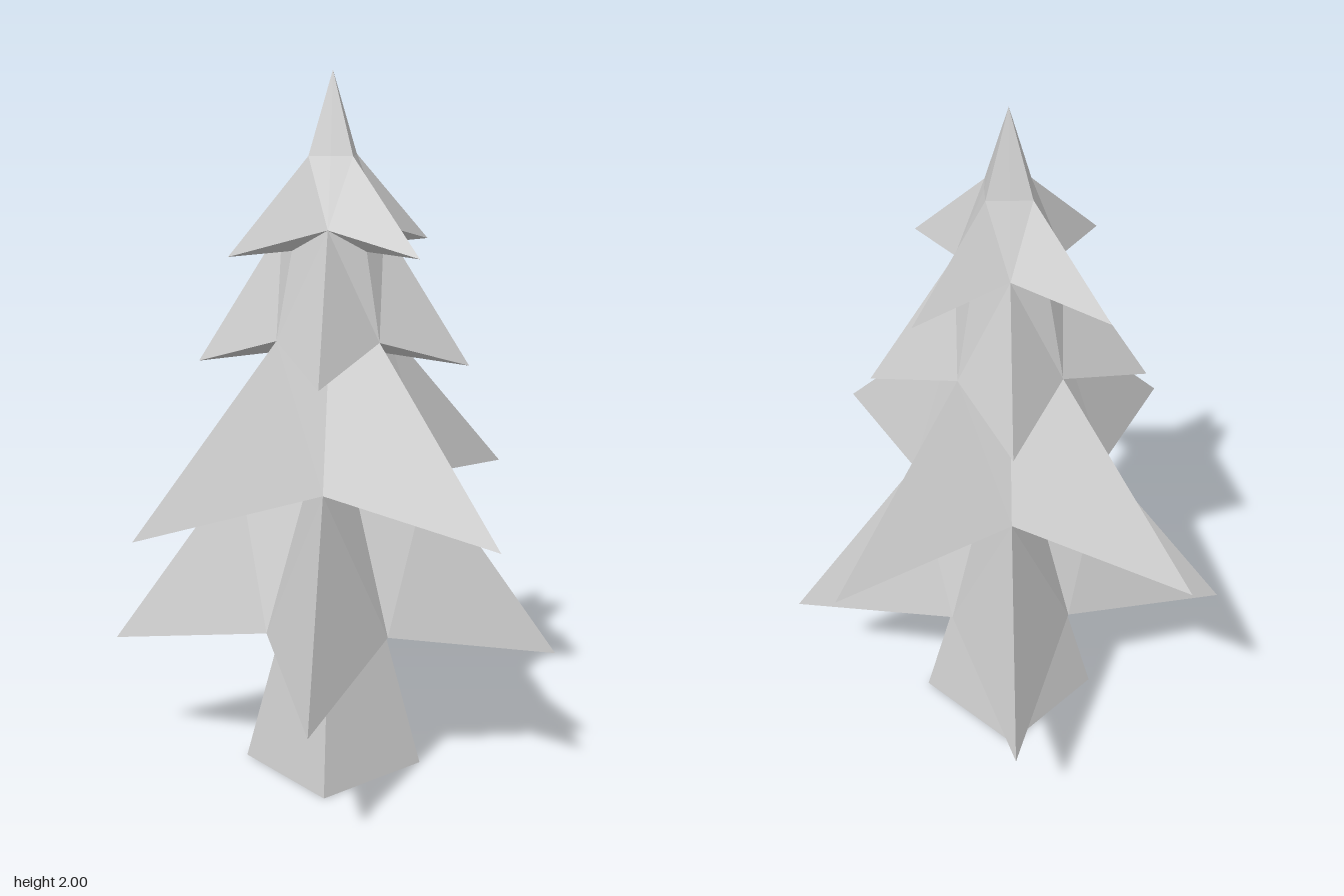
import * as THREE from 'three';

const material = new THREE.MeshStandardMaterial({ color: 0xcccccc, flatShading: true });

// Eight points around the trunk; even ones lie on the x and z axes, odd ones on the diagonals
function ring(evenR, evenY, oddR, oddY) {
  return Array.from({ length: 8 }, (_, k) => {
    const a = k * Math.PI / 4, r = k % 2 ? oddR : evenR;
    return new THREE.Vector3(Math.sin(a) * r, k % 2 ? oddY : evenY, Math.cos(a) * r);
  });
}

// Triangles joining a lower ring to an upper one; `tip` is the parity of the branch tips
function band(lower, upper, tip = 0) {
  const out = [];
  const add = (a, b, c) => {
    const area = b.clone().sub(a).cross(c.clone().sub(a)).length();
    if (area > 1e-6) out.push(a, b, c);
  };
  for (let k = 0; k < 8; k++) {
    const n = (k + 1) % 8;
    if (k % 2 === tip) {
      add(lower[k], lower[n], upper[k]);
      add(lower[n], upper[n], upper[k]);
    } else {
      add(lower[k], lower[n], upper[n]);
      add(lower[k], upper[n], upper[k]);
    }
  }
  return out;
}

function part(name, points) {
  const geometry = new THREE.BufferGeometry().setFromPoints(points);
  geometry.computeVertexNormals();
  const mesh = new THREE.Mesh(geometry, material);
  mesh.name = name;
  return mesh;
}

export function createModel() {
  const tree = new THREE.Group();
  tree.name = 'pineTree';

  // Trunk: a tapering square post with its corners on the axes
  const h = Math.SQRT1_2;
  const base = ring(0.258, 0, 0.258 * h, 0);
  const trunkTop = ring(0.14, 0.45, 0.14 * h, 0.45);
  const centre = ring(0, 0, 0, 0);
  tree.add(part('trunk', [...band(centre, base), ...band(base, trunkTop)]));

  // Tiers from the bottom: tip, valley between tips, and hollow beneath each tip (radius, height)
  const tiers = [
    { tip: [0.645, 0.36], valley: [0.242, 0.455] },
    { tip: [0.672, 0.81], valley: [0.272, 0.89], hollow: [0.1, 0.845] },
    { tip: [0.38, 1.2], valley: [0.198, 1.285], hollow: [0.12, 1.235] },
    { tip: [0.354, 1.525], valley: [0.14, 1.585], hollow: [0.143, 1.525] },
  ];
  // Every other tier is turned by an eighth of a circle
  const star = (i, point, valley) => i % 2 ? ring(...valley, ...point) : ring(...point, ...valley);
  const outer = tiers.map((t, i) => star(i, t.tip, t.valley));
  const inner = tiers.map((t, i) => t.hollow ? star(i, t.hollow, t.valley) : trunkTop);
  const crown = ring(0.062, 1.775, 0.085, 1.775);
  inner.push(crown);

  // Each tier has an underside and a sloping top that meets the tier above
  tiers.forEach((t, i) => {
    tree.add(part('branchTier' + (i + 1), [
      ...band(inner[i], outer[i], i % 2),
      ...band(outer[i], inner[i + 1], i % 2),
    ]));
  });

  // Pointed treetop
  tree.add(part('treetop', band(crown, ring(0, 2, 0, 2))));
  return tree;
}
